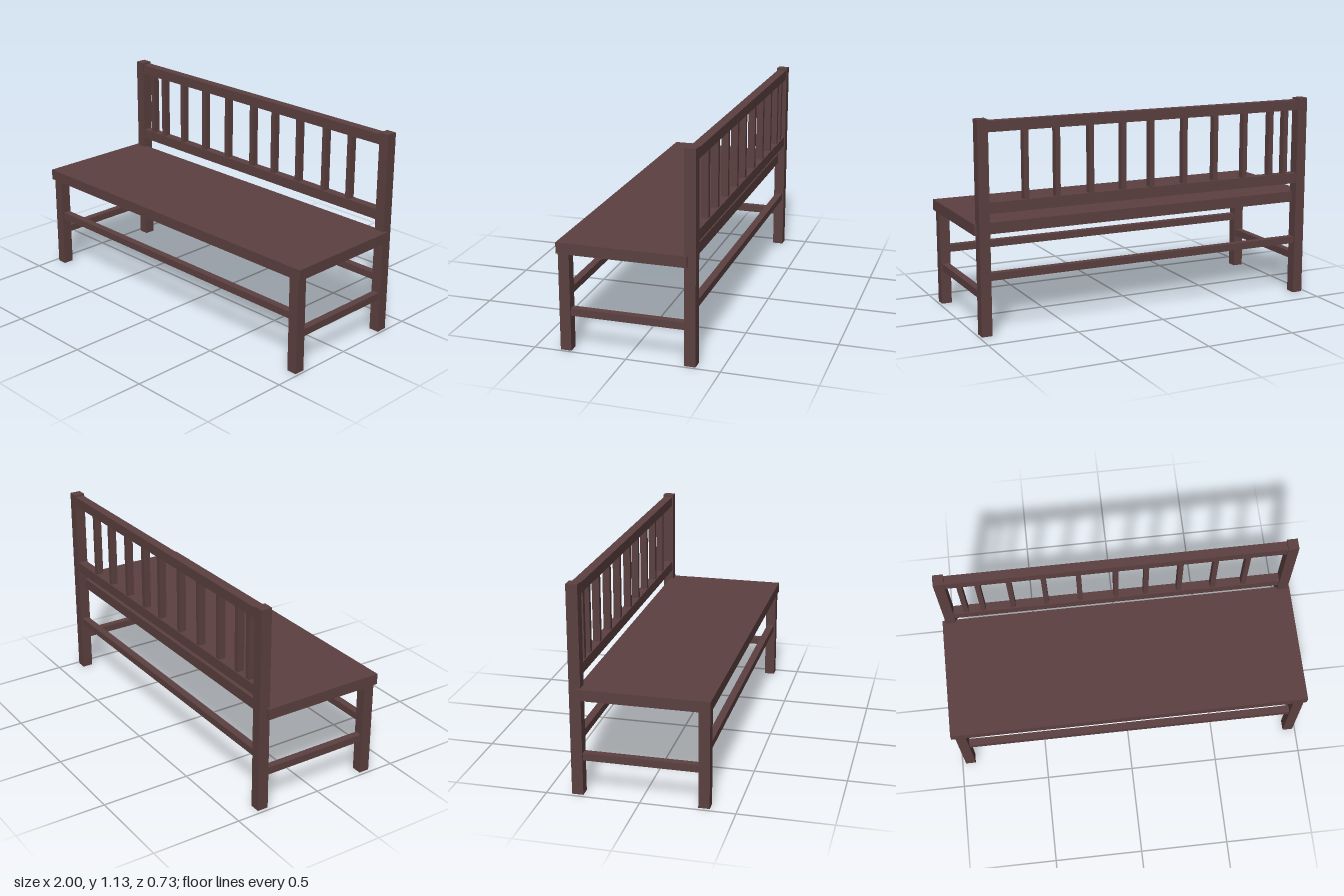
import * as THREE from 'three';

export function createModel() {
  const bench = new THREE.Group();
  bench.name = 'bench';
  const wood = new THREE.MeshStandardMaterial({ color: 0x5c4040, flatShading: true });

  // Box given by its extents along each axis
  function bar(name, [x0, x1], [y0, y1], [z0, z1]) {
    const mesh = new THREE.Mesh(new THREE.BoxGeometry(x1 - x0, y1 - y0, z1 - z0), wood);
    mesh.position.set((x0 + x1) / 2, (y0 + y1) / 2, (z0 + z1) / 2);
    mesh.name = name;
    bench.add(mesh);
  }

  const frontZ = [0.302, 0.361];
  const backZ = [-0.367, -0.306];
  const span = [-0.93, 0.935]; // between the posts

  bar('seat', [-1, 1], [0.532, 0.592], [-0.325, 0.367]);

  // Legs, tall back posts and side stretchers at both ends
  for (const [side, x] of [['right', -0.951], ['left', 0.957]]) {
    const w = [x - 0.029, x + 0.029];
    bar(side + 'FrontLeg', w, [0, 0.556], frontZ);
    bar(side + 'BackPost', w, [0, 1.135], backZ);
    bar(side + 'Stretcher', [x - 0.02, x + 0.02], [0.192, 0.232], [-0.32, 0.32]);
  }

  // Long stretchers
  bar('frontStretcher', span, [0.293, 0.332], [0.312, 0.352]);
  bar('backStretcher', span, [0.293, 0.332], [-0.356, -0.316]);

  // Backrest rails
  bar('topRail', span, [1.068, 1.124], [-0.362, -0.311]);
  bar('lowerRail', span, [0.648, 0.706], [-0.362, -0.311]);

  // Unevenly spaced backrest slats
  const slats = [-0.85, -0.753, -0.584, -0.396, -0.205, -0.003, 0.165, 0.353, 0.545, 0.721];
  for (const x of slats) {
    bar('slat', [x - 0.014, x + 0.014], [0.7, 1.075], [-0.356, -0.317]);
  }
  return bench;
}
